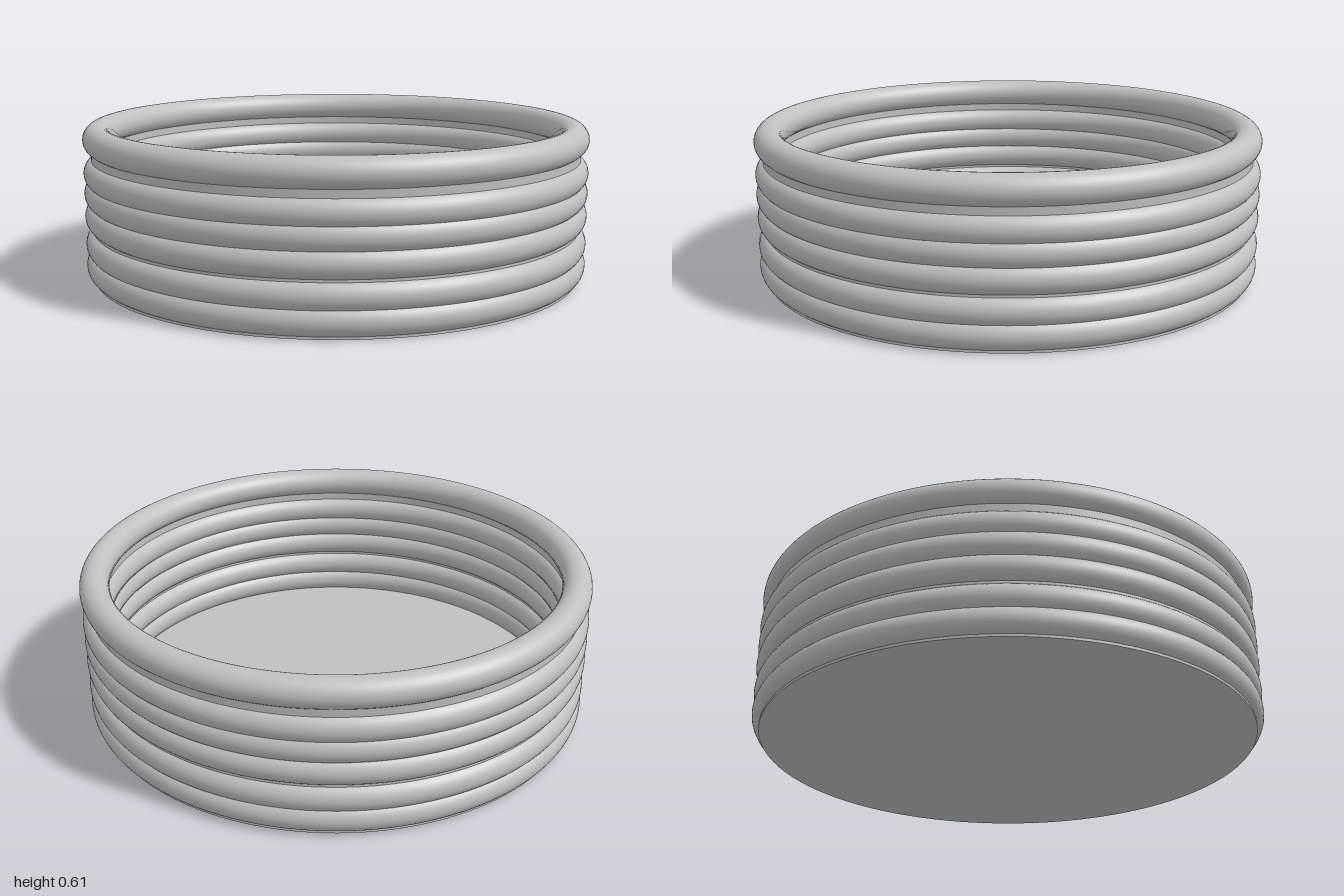
import * as THREE from 'three';

export function createModel() {
  const model = new THREE.Group();
  const grey = new THREE.MeshStandardMaterial({ color: 0xc0c0c0 });
  grey.name = 'lightGrey';

  const add = (name, geometry, y = 0) => {
    const mesh = new THREE.Mesh(geometry, grey);
    mesh.name = name;
    mesh.position.y = y;
    model.add(mesh);
  };

  // Flat floor disc
  add('floor', new THREE.CylinderGeometry(0.97, 0.97, 0.02, 128), 0.01);

  // Thin wall behind the rings
  const wall = new THREE.Shape().absarc(0, 0, 0.97, 0, Math.PI * 2, false);
  wall.holes.push(new THREE.Path().absarc(0, 0, 0.916, 0, Math.PI * 2, true));
  const wallGeometry = new THREE.ExtrudeGeometry(wall, { depth: 0.54, bevelEnabled: false, curveSegments: 128 });
  wallGeometry.rotateX(-Math.PI / 2);
  add('wall', wallGeometry, 0.01);

  // Stacked round rings, unevenly spaced, with the rim on top
  const ring = new THREE.TorusGeometry(0.943, 0.057, 32, 128).rotateX(-Math.PI / 2);
  [0.06, 0.145, 0.255, 0.345, 0.425, 0.555].forEach((y, i) => {
    add(i === 5 ? 'rimRing' : `ring${i + 1}`, ring, y);
  });

  return model;
}
